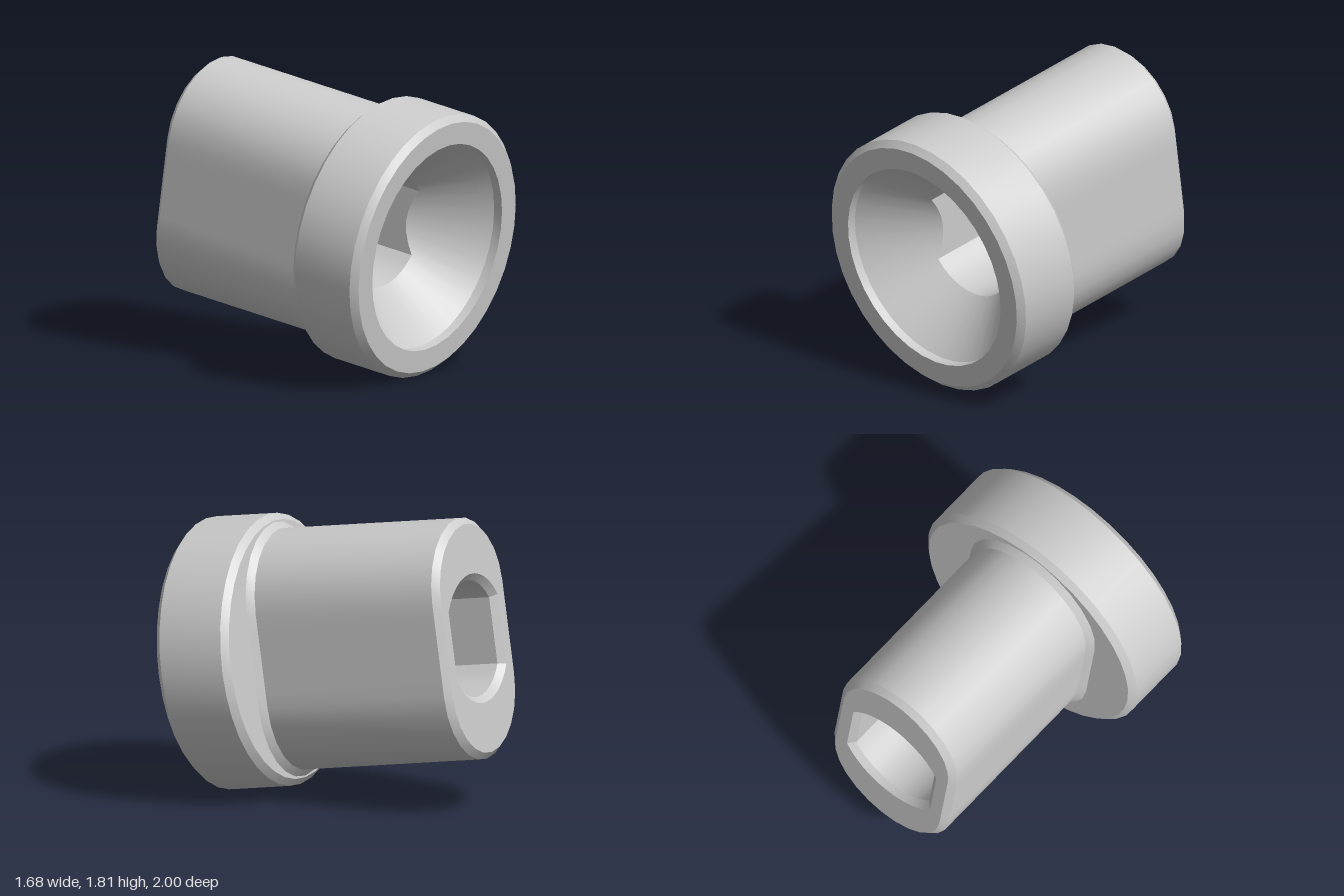
import * as THREE from 'three';
import { toCreasedNormals } from 'three/addons/utils/BufferGeometryUtils.js';

const ARC = 12, SIDE = 6; // segments per end arc and per straight side

// Closed loop (counter-clockwise from the front): right side, top arc, left side, bottom arc.
// A circle of radius r, cut by flats at x = +-w; stretch moves the arcs apart in y.
function loop(arcPoint, sidePoint) {
  const pts = [];
  for (const s of [1, -1]) {
    for (let i = 0; i < SIDE; i++) {
      const [x, y] = sidePoint(i / SIDE * 2 - 1);
      pts.push([s * x, s * y]);
    }
    for (let i = 0; i < ARC; i++) {
      const [x, y] = arcPoint(i / ARC);
      pts.push([s * x, s * y]);
    }
  }
  return pts;
}

const at = (pts, z) => pts.map(([x, y]) => [x, y, z]);

// Double-D outline: a circle cut by two flats
function doubleD(r, w) {
  const a = Math.acos(w / r), h = r * Math.sin(a);
  return loop(
    t => { const q = a + t * (Math.PI - 2 * a); return [r * Math.cos(q), r * Math.sin(q)]; },
    t => [w, t * h]
  );
}

// Stadium outline: half width r, flats of half length h
function stadium(r, h) {
  return loop(
    t => [r * Math.cos(t * Math.PI), h + r * Math.sin(t * Math.PI)],
    t => [r, t * h]
  );
}

const circle = r => Array.from({ length: 2 * (ARC + SIDE) }, (_, i) => {
  const a = (i - SIDE / 2) / (ARC + SIDE) * Math.PI;
  return [r * Math.cos(a), r * Math.sin(a)];
});

// Skin a row of matching loops
function loft(name, loops, material) {
  const pos = [];
  for (let i = 0; i + 1 < loops.length; i++) {
    const p = loops[i], q = loops[i + 1], n = p.length;
    for (let j = 0; j < n; j++) {
      const k = (j + 1) % n;
      pos.push(...p[j], ...q[j], ...p[k], ...p[k], ...q[j], ...q[k]);
    }
  }
  const geo = new THREE.BufferGeometry();
  geo.setAttribute('position', new THREE.Float32BufferAttribute(pos, 3));
  const mesh = new THREE.Mesh(toCreasedNormals(geo, 0.45), material);
  mesh.name = name;
  return mesh;
}

export function createModel() {
  const material = new THREE.MeshStandardMaterial({ color: 0xcccccc });
  const model = new THREE.Group();
  model.name = 'flangedSleeve';
  const tilted = new THREE.Group();
  tilted.name = 'tiltedSleeve';
  tilted.rotation.x = THREE.MathUtils.degToRad(8);
  model.add(tilted);

  const frontZ = 0.766, flangeBack = 0.265, rearZ = -1.04, c = 0.04;
  const collar = at(stadium(0.46 + c, 0.29), flangeBack);

  // Round flange with chamfered edges
  const flange = loft('flange', [
    at(circle(0.66), frontZ), at(circle(0.80), frontZ),
    at(circle(0.84), frontZ - c), at(circle(0.84), flangeBack + c),
    at(circle(0.80), flangeBack), collar
  ], material);

  // Flat-sided body with a sloped collar, rear chamfer and rear face
  const rearOpening = at(doubleD(0.36 + c, 0.295 + c), rearZ);
  const body = loft('body', [
    collar, at(stadium(0.46, 0.29), flangeBack - c),
    at(stadium(0.46, 0.29), rearZ + c), at(stadium(0.46 - c, 0.29), rearZ),
    rearOpening
  ], material);

  // Bore, whose front rim follows the cone
  const bore = doubleD(0.36, 0.295);
  const mouthZ = frontZ - 0.06;
  const rim = bore.map(([x, y]) => [x, y, mouthZ - (0.66 - Math.hypot(x, y)) * 1.09]);
  const boreMesh = loft('bore', [rearOpening, at(bore, rearZ + c), rim], material);

  // Conical funnel and its short straight mouth
  const funnel = loft('funnel', [
    rim, at(circle(0.66), mouthZ), at(circle(0.66), frontZ)
  ], material);

  for (const part of [flange, body, boreMesh, funnel]) {
    part.position.y = 0.945;
    tilted.add(part);
  }
  return model;
}
